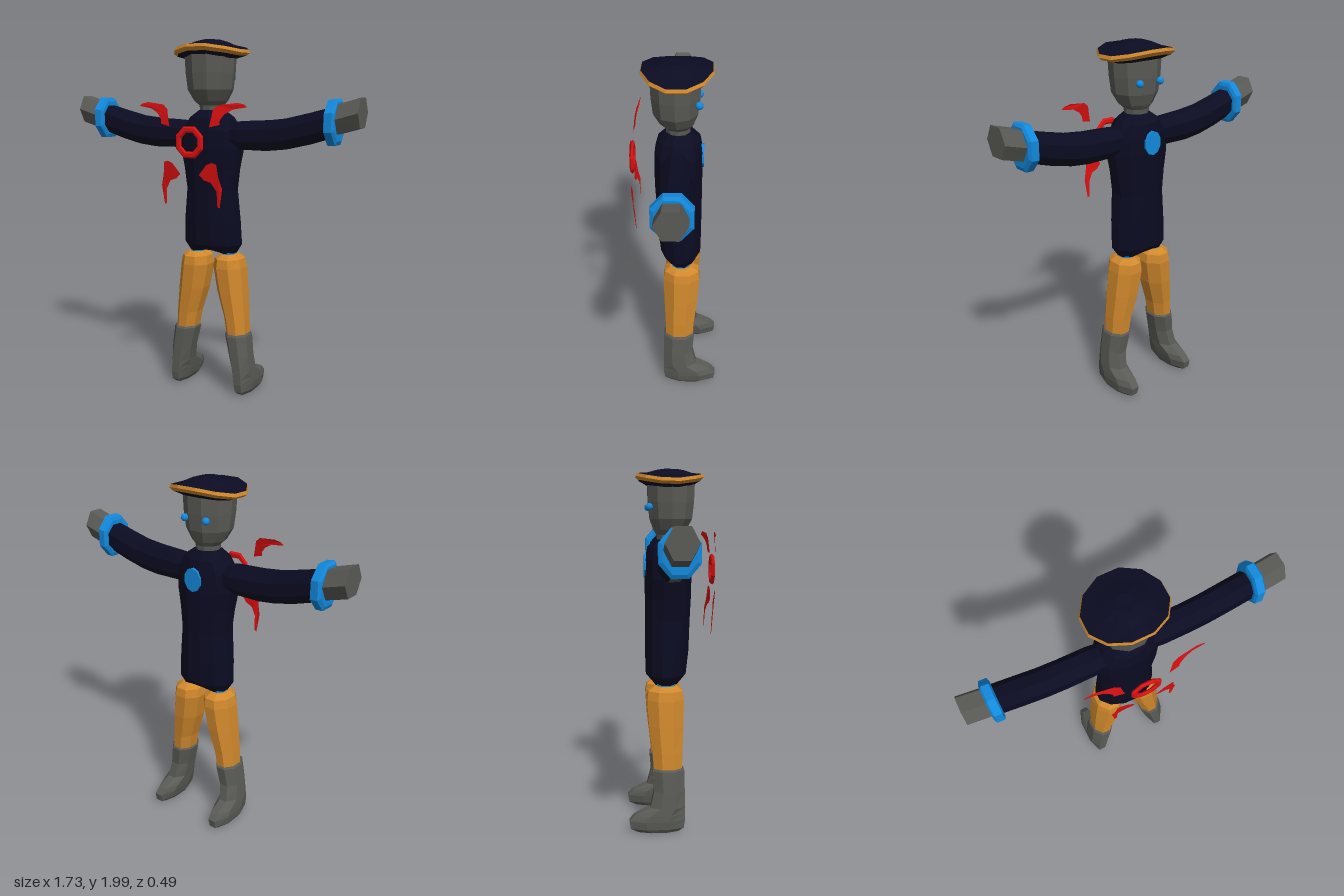
import * as THREE from 'three';

const mat = (name, color, side = THREE.FrontSide) => {
  const m = new THREE.MeshStandardMaterial({ color, flatShading: true, side });
  m.name = name;
  return m;
};

// Ring of n points from extents [p, a0, a1, z0, z1].
// 'y': horizontal ring at height p spanning x a0..a1; 'x': upright ring at x = p spanning y a0..a1.
function ring([p, a0, a1, z0, z1], axis, n, mirror) {
  const k = 1 / Math.cos(Math.PI / n), pts = [];
  for (let i = 0; i < n; i++) {
    const t = ((i + 0.5) / n) * Math.PI * 2, c = Math.cos(t) * k, s = Math.sin(t) * k;
    const a = (a0 + a1) / 2, ra = (a1 - a0) / 2, z = (z0 + z1) / 2, rz = (z1 - z0) / 2;
    const v = axis === 'y'
      ? new THREE.Vector3(a + ra * s, p, z + rz * c)
      : new THREE.Vector3(p, a + ra * c, z + rz * s);
    if (mirror) v.x *= -1;
    pts.push(v);
  }
  return mirror ? pts.reverse() : pts;
}

// Skin a list of sections, close both ends; faces of strip 'accent' use the second material.
function loft(name, material, sections, { axis = 'y', n = 8, mirror = false, accent = -1, warp = null, caps = true } = {}) {
  const rings = sections.map(s => ring(s, axis, n, mirror));
  if (warp) rings.forEach((r, i) => r.forEach(v => warp(v, i)));
  const main = [], extra = [];
  const tri = (list, ...vs) => vs.forEach(v => list.push(v.x, v.y, v.z));
  for (let j = 0; j < rings.length - 1; j++) {
    for (let i = 0; i < n; i++) {
      const k = (i + 1) % n, list = i === accent ? extra : main;
      tri(list, rings[j][i], rings[j][k], rings[j + 1][k]);
      tri(list, rings[j][i], rings[j + 1][k], rings[j + 1][i]);
    }
  }
  if (caps) {
    [rings[0], rings[rings.length - 1]].forEach((r, end) => {
      const mid = r.reduce((s, v) => s.add(v), new THREE.Vector3()).divideScalar(n);
      for (let i = 0; i < n; i++) {
        const a = r[i], b = r[(i + 1) % n];
        end ? tri(main, mid, a, b) : tri(main, mid, b, a);
      }
    });
  }
  const g = new THREE.BufferGeometry();
  g.setAttribute('position', new THREE.Float32BufferAttribute([...main, ...extra], 3));
  if (extra.length) {
    g.addGroup(0, main.length / 3, 0);
    g.addGroup(main.length / 3, extra.length / 3, 1);
  }
  g.computeVertexNormals();
  const mesh = new THREE.Mesh(g, material);
  mesh.name = name;
  return mesh;
}

export function createModel() {
  const model = new THREE.Group();
  model.name = 'figure';
  const navy = mat('navy cloth', 0x0b0b22);
  const grey = mat('grey', 0x5a5a56);
  const gold = mat('gold', 0xd0882c);
  const blue = mat('blue', 0x128ade);
  const red = mat('red', 0xdc1010, THREE.DoubleSide);
  const add = (name, geometry, material, x, y, z) => {
    const m = new THREE.Mesh(geometry, material);
    m.name = name;
    m.position.set(x, y, z);
    model.add(m);
    return m;
  };

  // Coat, with the hem lifted between the legs
  model.add(loft('torso', navy, [
    [0.82, -0.14, 0.14, -0.11, 0.05],
    [0.87, -0.17, 0.17, -0.138, 0.085],
    [1.0, -0.163, 0.163, -0.14, 0.1],
    [1.18, -0.145, 0.145, -0.14, 0.107],
    [1.3, -0.16, 0.16, -0.14, 0.113],
    [1.41, -0.183, 0.183, -0.14, 0.115],
    [1.51, -0.17, 0.17, -0.138, 0.113],
    [1.58, -0.125, 0.125, -0.125, 0.095],
    [1.62, -0.07, 0.07, -0.085, 0.06],
  ], { n: 12, warp: (v, i) => { if (i === 0) v.y += 0.03 * Math.max(0, 1 - Math.abs(v.x) / 0.1); } }));

  // Neck and head
  model.add(loft('head', grey, [
    [1.6, -0.062, 0.062, -0.07, 0.05],
    [1.645, -0.065, 0.065, -0.075, 0.055],
    [1.67, -0.09, 0.09, -0.09, 0.085],
    [1.73, -0.123, 0.123, -0.112, 0.118],
    [1.82, -0.134, 0.134, -0.122, 0.128],
    [1.92, -0.14, 0.14, -0.125, 0.132],
  ], { n: 10 }));

  // Hat: rim rises toward front and back
  const hatSection = ([y, r]) => [y, -r, r, -0.9 * r, 0.85 * r];
  const saddle = { n: 12, caps: false, warp: v => { v.y += 0.035 * (v.z / 0.185) ** 2; } };
  model.add(loft('hatUnderside', navy, [[1.92, 0.1], [1.895, 0.14], [1.908, 0.19]].map(hatSection), saddle));
  model.add(loft('hatRim', gold, [[1.908, 0.19], [1.922, 0.21], [1.94, 0.203]].map(hatSection), saddle));
  model.add(loft('hatCrown', navy, [[1.94, 0.203], [1.962, 0.14], [1.985, 0.09], [1.997, 0.05]].map(hatSection),
    { ...saddle, caps: true }));

  for (const side of [1, -1]) {
    const mirror = side < 0, word = mirror ? 'right' : 'left';
    const part = (name, material, sections, opts) =>
      model.add(loft(word + name, material, sections, { mirror, ...opts }));

    // Sleeve; one sleeve has a grey underside
    part('Sleeve', mirror ? [navy, grey] : navy, [
      [0.1, 1.43, 1.55, -0.07, 0.055],
      [0.19, 1.41, 1.562, -0.08, 0.062],
      [0.35, 1.408, 1.57, -0.08, 0.062],
      [0.46, 1.42, 1.582, -0.08, 0.062],
      [0.58, 1.448, 1.61, -0.08, 0.062],
      [0.72, 1.49, 1.645, -0.078, 0.062],
    ], { axis: 'x', accent: mirror ? 3 : -1 });
    part('Cuff', blue, [
      [0.688, 1.47, 1.66, -0.09, 0.075],
      [0.696, 1.45, 1.68, -0.108, 0.092],
      [0.736, 1.45, 1.685, -0.108, 0.092],
      [0.746, 1.47, 1.67, -0.09, 0.075],
    ], { axis: 'x' });
    part('Hand', grey, [
      [0.72, 1.5, 1.65, -0.076, 0.062],
      [0.865, 1.54, 1.692, -0.076, 0.062],
    ], { axis: 'x', n: 6 });

    // Hip joint, trouser leg and boot
    part('Hip', blue, [
      [0.79, 0.06, 0.14, -0.08, 0.02],
      [0.835, 0.06, 0.14, -0.08, 0.02],
    ]);
    part('TrouserLeg', gold, [
      [0.35, 0.108, 0.225, -0.103, 0.053],
      [0.45, 0.09, 0.22, -0.11, 0.056],
      [0.6, 0.045, 0.208, -0.128, 0.063],
      [0.74, 0.02, 0.193, -0.137, 0.067],
      [0.79, 0.028, 0.182, -0.13, 0.06],
      [0.815, 0.06, 0.15, -0.095, 0.03],
    ]);
    part('Boot', grey, [
      [0.008, 0.175, 0.245, -0.19, 0.03],
      [0.03, 0.162, 0.258, -0.235, 0.06],
      [0.075, 0.152, 0.263, -0.242, 0.067],
      [0.108, 0.147, 0.262, -0.21, 0.067],
      [0.148, 0.142, 0.259, -0.125, 0.067],
      [0.24, 0.125, 0.25, -0.103, 0.067],
      [0.352, 0.1, 0.237, -0.112, 0.065],
      [0.362, 0.107, 0.23, -0.106, 0.058],
    ]);

    add(word + 'Eye', new THREE.IcosahedronGeometry(0.021, 1), blue, side * 0.07, 1.795, -0.118);

    // Curved red plates floating on the +z side
    const plate = (name, points) => {
      const shape = new THREE.Shape(points.map(([x, y]) => new THREE.Vector2(x * side, y)));
      const g = new THREE.ShapeGeometry(shape), p = g.attributes.position;
      for (let i = 0; i < p.count; i++) {
        const d = Math.hypot(p.getX(i), p.getY(i) - 1.455) / 0.32;
        p.setZ(i, 0.211 + 0.034 * Math.max(0, 1 - d * d));
      }
      g.computeVertexNormals();
      add(word + name, g, red, 0, 0, 0);
    };
    plate('UpperPlate', [[0.122, 1.537], [0.18, 1.55], [0.182, 1.575], [0.205, 1.605], [0.25, 1.63],
      [0.33, 1.642], [0.315, 1.655], [0.275, 1.664], [0.17, 1.652], [0.14, 1.628], [0.135, 1.6], [0.07, 1.585]].slice(0, 11));
    plate('LowerPlate', [[0.058, 1.285], [0.085, 1.258], [0.125, 1.245], [0.155, 1.2], [0.158, 1.115],
      [0.172, 1.11], [0.188, 1.215], [0.17, 1.275], [0.162, 1.345], [0.135, 1.352], [0.105, 1.34]]);
  }

  // Red ring between the plates
  const hoop = add('redRing', new THREE.TorusGeometry(0.072, 0.019, 6, 8), red, 0, 1.455, 0.234);
  hoop.rotation.z = Math.PI / 8;
  hoop.scale.z = 0.55;

  // Oval badge on the -z side of the coat
  const badge = new THREE.CylinderGeometry(0.055, 0.055, 0.03, 10).rotateX(Math.PI / 2);
  add('chestBadge', badge, blue, 0, 1.475, -0.132).scale.y = 1.2;

  return model;
}
